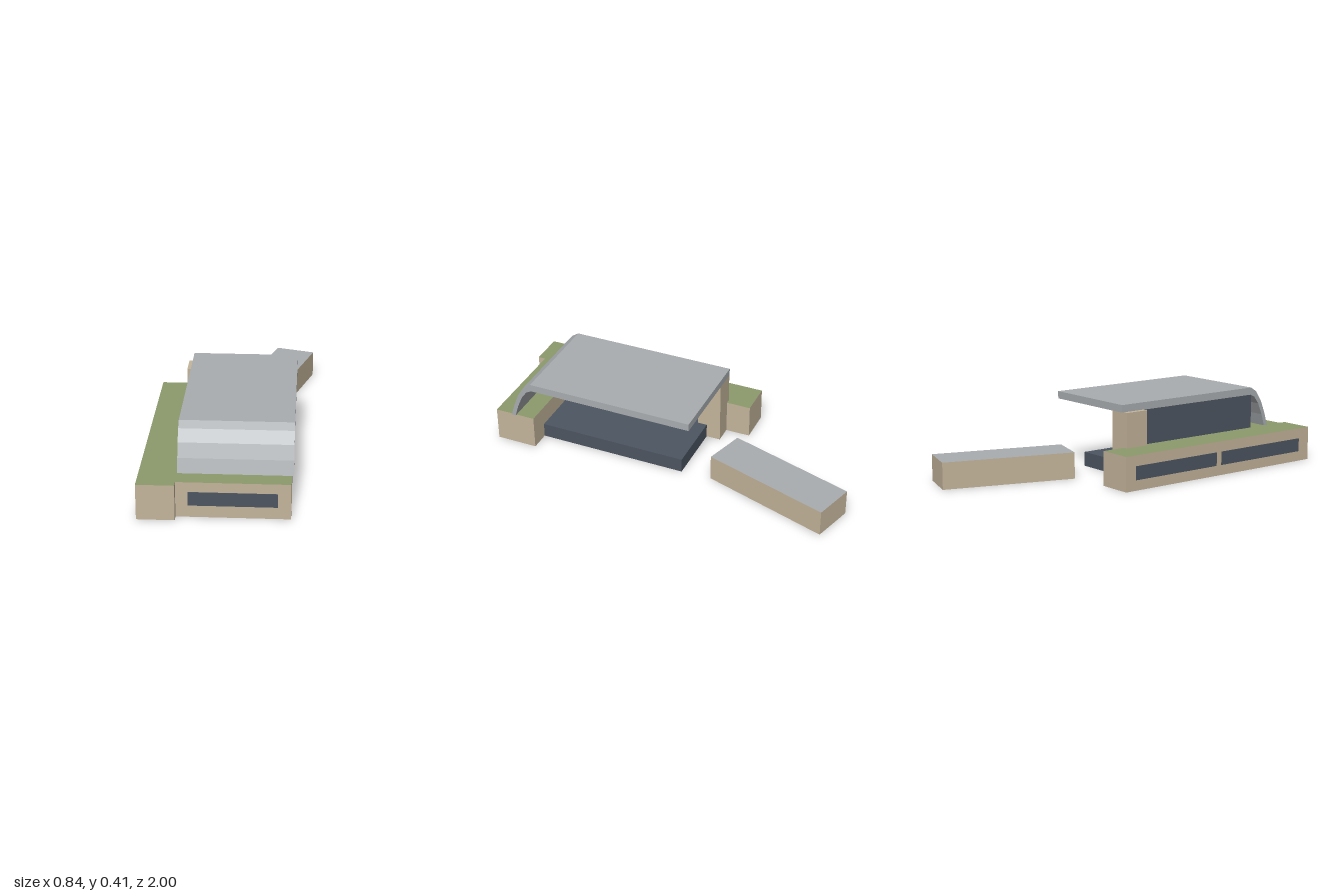
import * as THREE from 'three';

const mat = (name, color, side = THREE.FrontSide) => {
  const m = new THREE.MeshStandardMaterial({ color, side });
  m.name = name;
  return m;
};

export function createModel() {
  const tan = mat('tan wall', 0xc4b59b, THREE.DoubleSide);
  const green = mat('green roof', 0x8c9a6c);
  const grey = mat('grey roof', 0xa9adb0, THREE.DoubleSide);
  const slate = mat('slate glass', 0x4c5561);

  const group = new THREE.Group();
  group.name = 'building';

  // Box given by its minimum and maximum corner, with an optional top colour
  const box = (name, [x0, y0, z0], [x1, y1, z1], side, top = side) => {
    const geo = new THREE.BoxGeometry(x1 - x0, y1 - y0, z1 - z0);
    const mesh = new THREE.Mesh(geo, top === side ? side : [side, side, top, side, side, side]);
    mesh.position.set((x0 + x1) / 2, (y0 + y1) / 2, (z0 + z1) / 2);
    mesh.name = name;
    group.add(mesh);
    return mesh;
  };

  // Low wings with planted roofs
  const H = 0.184;
  box('sideWing', [-0.422, 0, -0.302], [-0.235, H, 1], tan, green);
  box('frontWing', [-0.235, 0, 0.735], [0.322, H, 0.96], tan, green);

  // Window strips, as thin plates
  box('frontWindow', [-0.176, 0.062, 0.958], [0.258, 0.133, 0.963], slate);
  for (const [z0, z1] of [[-0.24, 0.31], [0.345, 0.925]]) {
    box('sideWindow', [-0.425, 0.055, z0], [-0.42, 0.128, z1], slate);
  }

  // Hall: floor slab, glazed wall and corner pillar
  box('hallFloor', [-0.235, 0, -0.09], [0.213, 0.078, 0.735], slate);
  box('glassWall', [-0.232, 0.002, -0.038], [-0.2, 0.372, 0.737], slate);
  box('pillar', [-0.261, 0.001, -0.168], [-0.136, 0.371, -0.037], tan);

  // Canopy: flat slab that bends down at the front, profile as [z, y]
  const profile = [
    [-0.18, 0.37], [-0.18, 0.41], [0.735, 0.41], [0.775, 0.383], [0.812, 0.325],
    [0.84, 0.255], [0.862, H], [0.838, H], [0.818, 0.25], [0.79, 0.315],
    [0.76, 0.355], [0.73, 0.37],
  ];
  const shape = new THREE.Shape(profile.map(([z, y]) => new THREE.Vector2(-z, y)));
  const canopyGeo = new THREE.ExtrudeGeometry(shape, { depth: 0.565, bevelEnabled: false });
  canopyGeo.rotateY(Math.PI / 2);
  const canopy = new THREE.Mesh(canopyGeo, grey);
  canopy.position.x = -0.234;
  canopy.name = 'canopy';
  group.add(canopy);

  // Detached annex, turned outward and open underneath
  const annex = box('annex', [-0.112, 0, -0.356], [0.112, 0.142, 0.356], tan, grey);
  annex.geometry.groups = annex.geometry.groups.filter((g) => g.materialIndex !== 3);
  annex.position.set(0.204, 0.071, -0.627);
  annex.rotation.y = -0.3;

  return group;
}
